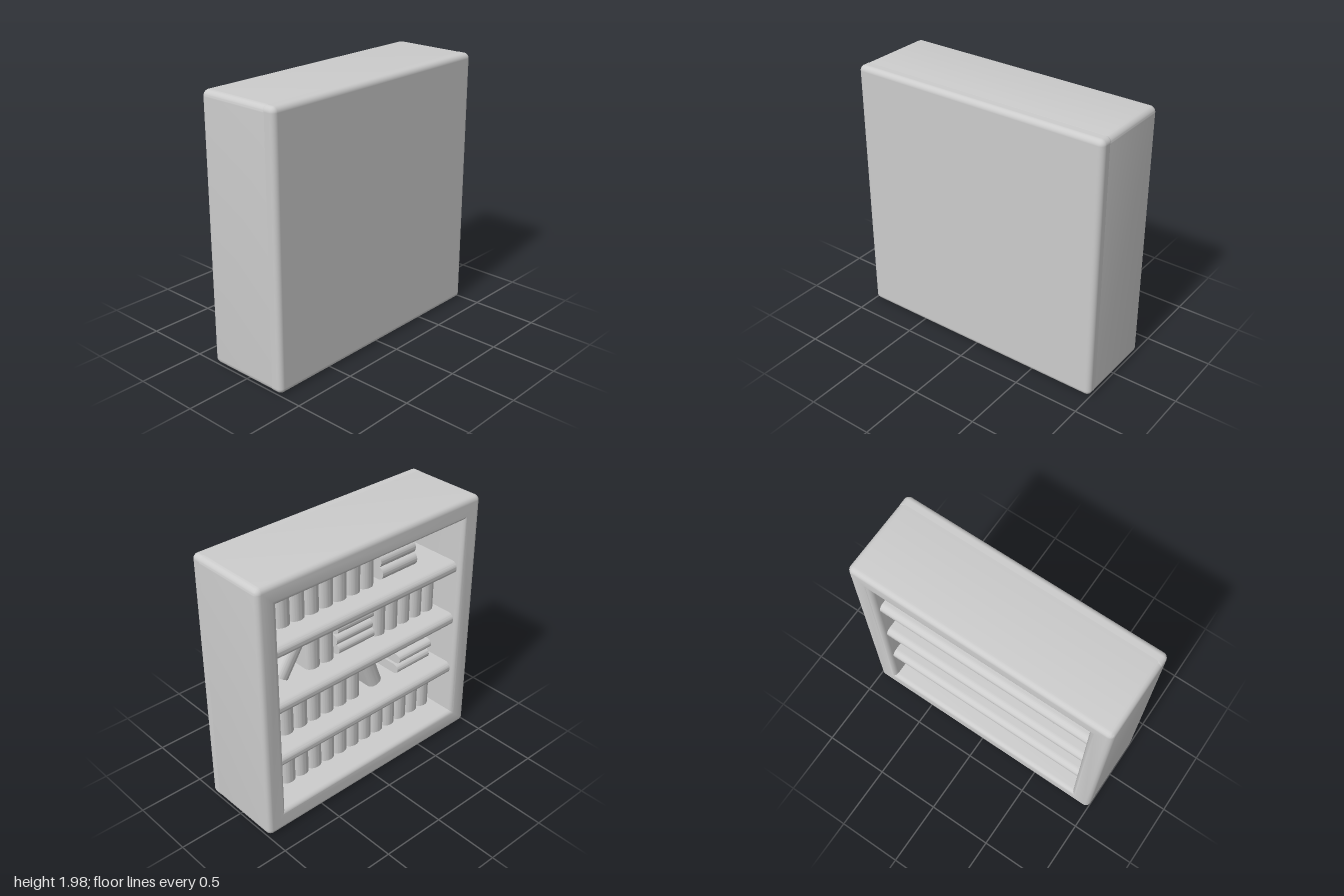
import * as THREE from 'three';
import { toCreasedNormals } from 'three/addons/utils/BufferGeometryUtils.js';
import { RoundedBoxGeometry } from 'three/addons/geometries/RoundedBoxGeometry.js';

const H = 1.98, HALF_D = 0.33, WALL = 0.16, ROUND = 0.04;
const SHELF = 0.1, PITCH = 0.44;             // shelf thickness and spacing
const BOOK_W = 0.122, BOOK_H = 0.3, STEP = 0.125, FIRST = 0.8125;
const SPINE_Z = -0.13, BOOK_BACK = 0.19;

const material = new THREE.MeshStandardMaterial({ color: 0xcccccc });

function add(parent, geometry, name) {
  const mesh = new THREE.Mesh(geometry, material);
  mesh.name = name;
  parent.add(mesh);
  return mesh;
}

function roundedSquare(w, h, r) {
  const s = new THREE.Shape(), x = w / 2, y = h / 2;
  s.absarc(x - r, y - r, r, 0, Math.PI / 2);
  s.absarc(-x + r, y - r, r, Math.PI / 2, Math.PI);
  s.absarc(-x + r, -y + r, r, Math.PI, Math.PI * 1.5);
  s.absarc(x - r, -y + r, r, Math.PI * 1.5, Math.PI * 2);
  s.closePath();
  return s;
}

// Ring of top, bottom and sides with rounded edges
function frameGeometry() {
  const shape = roundedSquare(2, H, ROUND + 0.005);
  const a = 1 - WALL, b = H / 2 - WALL;
  const hole = new THREE.Path();
  hole.moveTo(-a, -b).lineTo(-a, b).lineTo(a, b).lineTo(a, -b).closePath();
  shape.holes.push(hole);
  const g = new THREE.ExtrudeGeometry(shape, {
    depth: HALF_D + 0.25 - ROUND, bevelEnabled: true, bevelSize: ROUND,
    bevelThickness: ROUND, bevelOffset: -ROUND, bevelSegments: 5, curveSegments: 5
  });
  g.translate(0, H / 2, -HALF_D + ROUND);
  return toCreasedNormals(g, 0.6);
}

// Board with a half-round nose towards -z, drawn in (depth, height) and run along x
function shelfGeometry() {
  const r = SHELF / 2, nose = 0.29, length = 2 - 2 * WALL + 0.02;
  const s = new THREE.Shape();
  s.moveTo(-0.23, -r);
  s.lineTo(nose - r, -r);
  s.absarc(nose - r, 0, r, -Math.PI / 2, Math.PI / 2);
  s.lineTo(-0.23, r);
  s.closePath();
  const g = new THREE.ExtrudeGeometry(s, { depth: length, bevelEnabled: false, curveSegments: 16 });
  g.translate(0, 0, -length / 2);
  g.rotateY(Math.PI / 2);
  return toCreasedNormals(g, 0.6);
}

// Upright book with a rounded spine towards -z, standing on its own y = 0
function bookGeometry(width, height) {
  const w = width / 2, bulge = 0.045;
  const s = new THREE.Shape();
  s.moveTo(-w, -BOOK_BACK);
  s.lineTo(w, -BOOK_BACK);
  s.lineTo(w, -SPINE_Z - bulge);
  s.absellipse(0, -SPINE_Z - bulge, w, bulge, 0, Math.PI);
  s.closePath();
  const g = new THREE.ExtrudeGeometry(s, { depth: height, bevelEnabled: false, curveSegments: 12 });
  g.rotateX(-Math.PI / 2);
  return toCreasedNormals(g, 0.6);
}

export function createModel() {
  const model = new THREE.Group();
  model.name = 'bookcase';

  // Case
  add(model, frameGeometry(), 'frame');
  add(model, new RoundedBoxGeometry(2, H, 0.12, 5, ROUND), 'closedPanel')
    .position.set(0, H / 2, HALF_D - 0.06);

  // Shelves
  const board = shelfGeometry();
  const floors = [WALL];
  for (let i = 1; i <= 3; i++) {
    const y = WALL + i * PITCH;
    add(model, board, 'shelf').position.y = y - SHELF / 2;
    floors.push(y);
  }

  // Books
  const books = new THREE.Group();
  books.name = 'books';
  model.add(books);
  const upright = bookGeometry(BOOK_W, BOOK_H);

  function row(level, from, count) {
    for (let i = 0; i < count; i++) {
      add(books, upright, 'uprightBook')
        .position.set(FIRST - (from + i + 0.5) * STEP, floors[level], 0);
    }
  }

  // Lying books, each running from its start towards -x
  function stack(level, thickness, starts) {
    const g = bookGeometry(thickness - 0.002, 0.34);
    starts.forEach((x, i) => {
      const book = add(books, g, 'lyingBook');
      book.rotation.z = Math.PI / 2;
      book.position.set(x, floors[level] + (i + 0.5) * thickness, 0);
    });
  }

  // Tilted book whose top corner touches x = touch
  function leaning(level, touch, angle) {
    const book = add(books, upright, 'leaningBook');
    const reach = BOOK_H * Math.sin(angle) + Math.sign(angle) * BOOK_W / 2 * Math.cos(angle);
    book.rotation.z = angle;
    book.position.set(touch + reach, floors[level] + BOOK_W / 2 * Math.abs(Math.sin(angle)), 0);
  }

  row(0, 0, 13);

  row(1, 0, 7);
  leaning(1, FIRST - 7 * STEP, -0.36);
  stack(1, 0.08, [-0.43, -0.45]);

  leaning(2, FIRST - 3 * STEP, 0.58);
  row(2, 3, 2);
  stack(2, 0.085, [0.16, 0.18, 0.17]);
  row(2, 8, 5);

  row(3, 0, 8);
  stack(3, 0.103, [-0.25, -0.23, -0.31]);

  return model;
}
